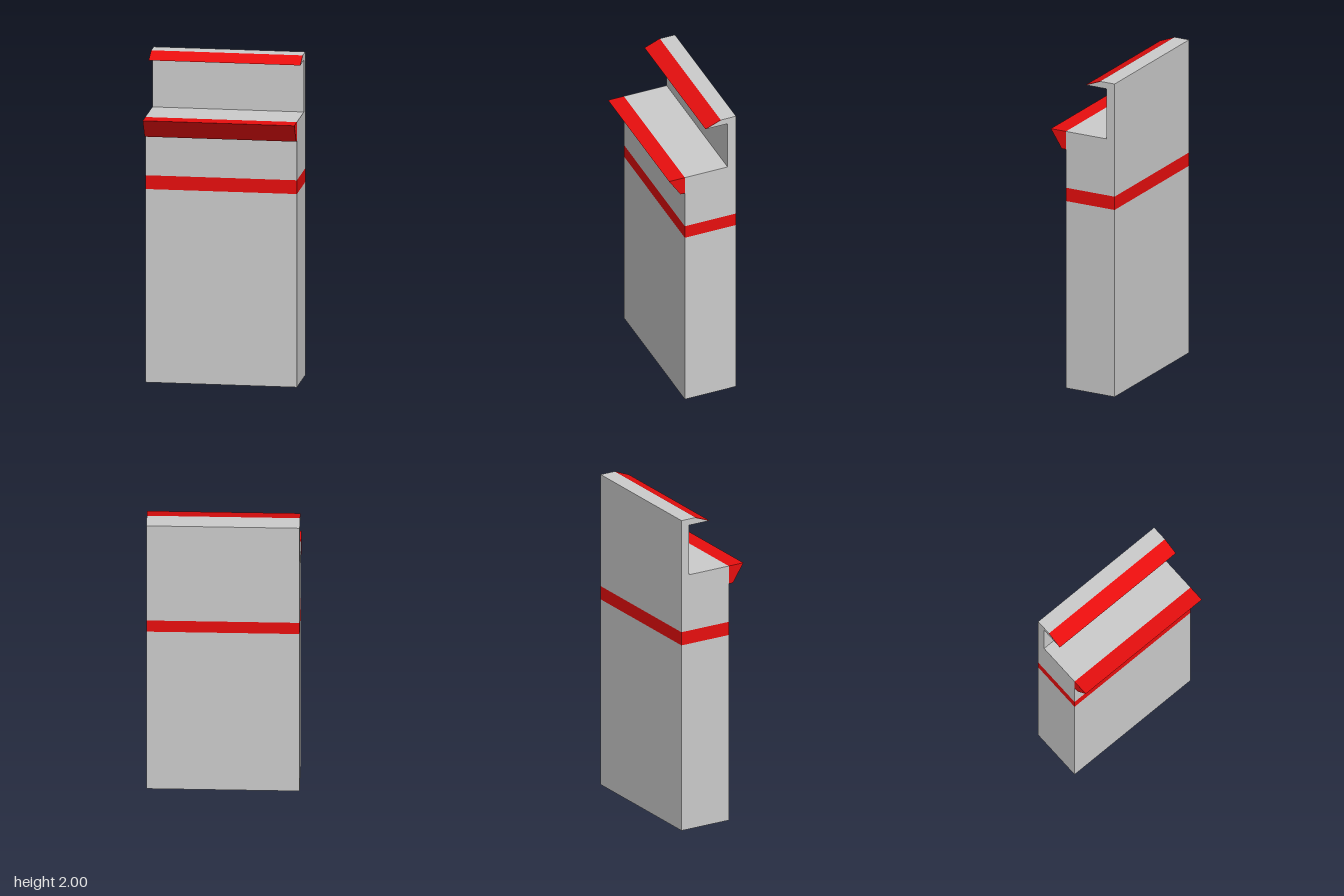
import * as THREE from 'three';

const WIDTH = 0.925;
const grey = new THREE.MeshStandardMaterial({ color: 0xcccccc });
const red = new THREE.MeshStandardMaterial({ color: 0xe80e0e });

// Extrude a side profile of [z, y] points across the full width
function slab(name, profile, material) {
  const shape = new THREE.Shape(profile.map(([z, y]) => new THREE.Vector2(z, y)));
  const geometry = new THREE.ExtrudeGeometry(shape, { depth: WIDTH, bevelEnabled: false });
  geometry.translate(0, 0, -WIDTH / 2).rotateY(-Math.PI / 2);
  const mesh = new THREE.Mesh(geometry, material);
  mesh.name = name;
  return mesh;
}

export function createModel() {
  const model = new THREE.Group();
  model.name = 'dispenserCabinet';
  const back = -0.22, front = 0.116, wall = -0.165;
  const bandLow = 1.195, bandHigh = 1.28, shelf = 1.64, hood = 1.96, top = 2;

  // Lower cabinet and the coloured band around it
  const block = (y0, y1) => [[back, y0], [front, y0], [front, y1], [back, y1]];
  model.add(slab('lowerBody', block(0, bandLow), grey));
  model.add(slab('band', block(bandLow, bandHigh), red));

  // Upper cabinet with shelf, back wall and overhanging hood
  const skin = 0.003;
  model.add(slab('upperBody', [
    [back, bandHigh], [front, bandHigh], [front, shelf], [wall, shelf],
    [wall, hood], [-0.02 - skin, hood], [-0.12, top - skin], [-0.12, top], [back, top],
  ], grey));

  // Coloured sloping face of the hood
  model.add(slab('hoodFace', [
    [-0.02 - skin, hood], [-0.02, hood], [-0.12, top], [-0.12, top - skin],
  ], red));

  // Wedge-shaped lip along the front of the shelf
  model.add(slab('shelfLip', [
    [front, 1.525], [0.145, 1.525], [0.22, shelf], [front, shelf],
  ], red));

  return model;
}
